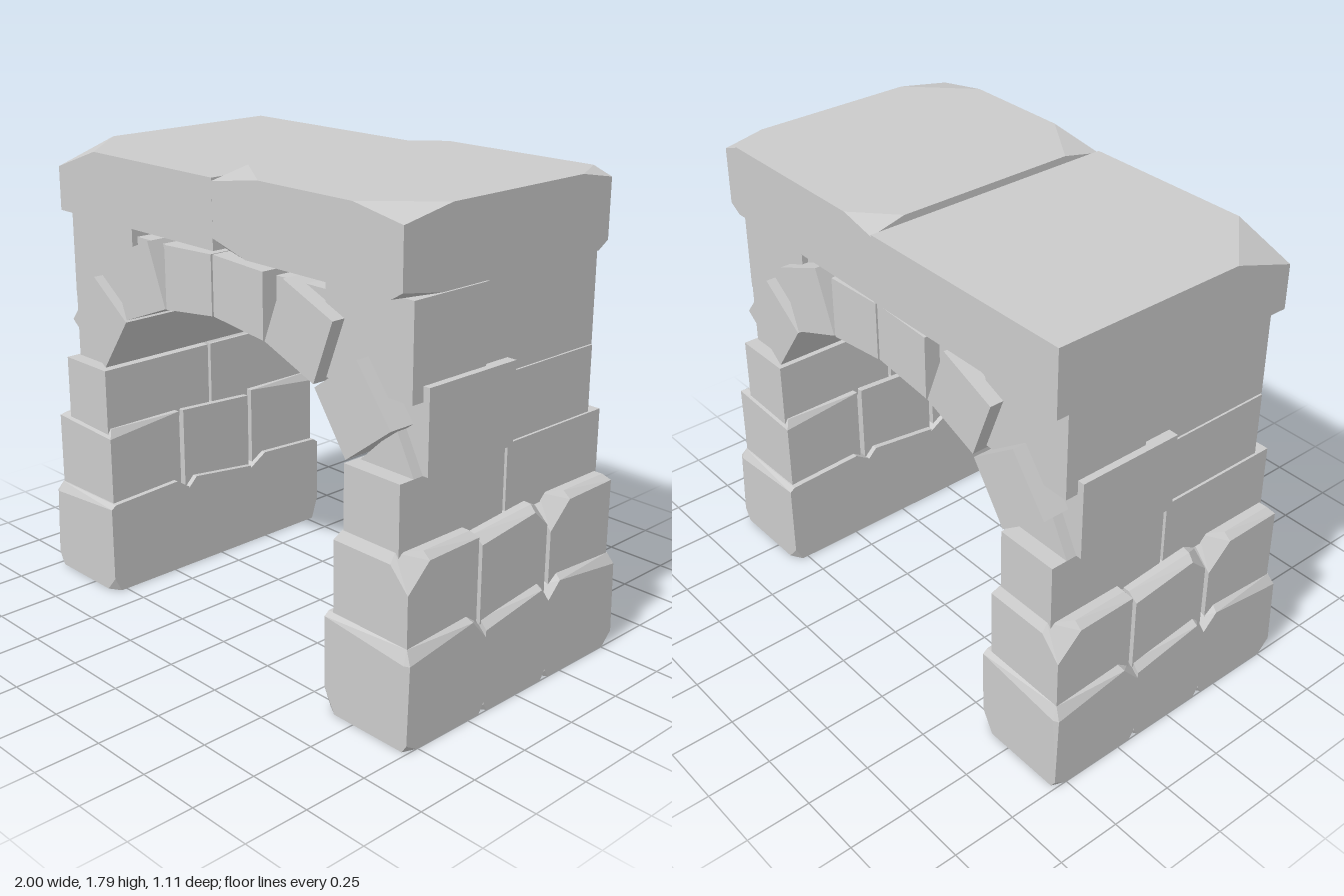
import * as THREE from 'three';
import { ConvexGeometry } from 'three/addons/geometries/ConvexGeometry.js';

const material = new THREE.MeshStandardMaterial({ color: 0xcccccc, flatShading: true });

function add(parent, name, geometry) {
  const mesh = new THREE.Mesh(geometry, material);
  mesh.name = name;
  parent.add(mesh);
  return mesh;
}

// Hewn block. Each chipped corner, keyed by its x y z signs,
// is replaced by points given as inward offsets from that corner.
function stone(parent, name, [x0, x1], [y0, y1], [z0, z1], chips = {}) {
  const points = [];
  for (const sx of ['-', '+']) for (const sy of ['-', '+']) for (const sz of ['-', '+']) {
    for (const [dx, dy, dz] of chips[sx + sy + sz] || [[0, 0, 0]]) {
      points.push(new THREE.Vector3(
        sx === '+' ? x1 - dx : x0 + dx,
        sy === '+' ? y1 - dy : y0 + dy,
        sz === '+' ? z1 - dz : z0 + dz));
    }
  }
  return add(parent, name, new ConvexGeometry(points));
}

// Corner cut straight across its three edges
const chip = (dx, dy, dz) => [[dx, 0, 0], [0, dy, 0], [0, 0, dz]];

// Prism with a polygon front, centred between z0 and z1
function prism(parent, name, corners, z0, z1) {
  const shape = new THREE.Shape(corners.map(([x, y]) => new THREE.Vector2(x, y)));
  const geometry = new THREE.ExtrudeGeometry(shape, { depth: z1 - z0, bevelEnabled: false });
  return add(parent, name, geometry.translate(0, 0, z0));
}

// One side of the arch, on +x
function createSide(name) {
  const side = new THREE.Group();
  side.name = name;

  // Foundation: three touching stones with worn upper edges
  const base = [0.61, 1];
  stone(side, 'baseStone', base, [0, 0.39], [0.17, 0.555], {
    '+++': [[0.025, 0.02, 0.02], [0, 0.07, 0.01], [0.02, 0.07, 0]],
    '-++': [[0, 0.03, 0], [0, 0.015, 0.02]],
    '++-': [[0.03, 0, 0.08], [0, 0.02, 0.07], [0, 0.1, 0], [0.05, 0.05, 0]],
    '-+-': [[0, 0.05, 0], [0, 0, 0.08]],
    '+-+': chip(0.02, 0.03, 0.05),
    '--+': chip(0.05, 0.09, 0.03),
    '+--': chip(0.03, 0.04, 0.025),
  });
  stone(side, 'baseStone', base, [0, 0.385], [-0.165, 0.17], {
    '+++': [[0.03, 0.035, 0], [0, 0.07, 0]],
    '-++': [[0, 0.035, 0]],
    '++-': [[0.03, 0, 0.04], [0, 0.02, 0.04], [0, 0.075, 0], [0.04, 0.03, 0]],
    '-+-': [[0, 0.04, 0], [0, 0, 0.04]],
    '+-+': chip(0.03, 0.03, 0.02),
    '+--': chip(0.03, 0.04, 0.025),
  });
  stone(side, 'baseStone', base, [0, 0.39], [-0.555, -0.165], {
    '+++': [[0.03, 0, 0.07], [0, 0.02, 0.06], [0, 0.08, 0], [0.05, 0.04, 0]],
    '-++': [[0, 0.04, 0], [0, 0, 0.06]],
    '++-': [[0.025, 0.02, 0.02], [0, 0.06, 0.01], [0.02, 0.06, 0]],
    '-+-': [[0, 0.03, 0], [0, 0.015, 0.02]],
    '+-+': chip(0.03, 0.03, 0.02),
    '+--': chip(0.03, 0.05, 0.05),
    '---': chip(0.05, 0.06, 0.03),
  });

  // Second course: three stones with gaps and broken corners
  const second = [0.632, 0.975];
  const bigBreak = [[0.03, 0, 0.1], [0, 0.025, 0.1], [0, 0.12, 0], [0.08, 0.035, 0], [0.08, 0, 0.02]];
  const edge = [[0.03, 0, 0.015], [0, 0.02, 0]];
  const endEdge = [[0, 0.035, 0], [0.02, 0, 0.02]];
  stone(side, 'secondCourseStone', second, [0.34, 0.68], [0.195, 0.535],
    { '+++': bigBreak, '++-': edge, '-++': endEdge });
  stone(side, 'secondCourseStone', second, [0.33, 0.68], [-0.168, 0.176], {
    '+++': [[0.04, 0.025, 0], [0, 0.055, 0]],
    '-++': [[0, 0.02, 0]],
    '++-': [[0.03, 0, 0.06], [0, 0.02, 0.07], [0, 0.085, 0], [0.06, 0.03, 0]],
  });
  stone(side, 'secondCourseStone', second, [0.34, 0.68], [-0.53, -0.19],
    { '+++': bigBreak, '++-': edge, '-+-': endEdge });

  // Plain upper courses
  stone(side, 'thirdCourseStone', [0.657, 0.91], [0.65, 0.92], [0.002, 0.513]);
  stone(side, 'thirdCourseStone', [0.657, 0.91], [0.65, 0.92], [-0.523, -0.012]);
  stone(side, 'fourthCourseStone', [0.7, 0.932], [0.92, 1.222], [-0.012, 0.408]);
  stone(side, 'fourthCourseStone', [0.7, 0.9], [0.92, 1.17], [-0.468, -0.045]);
  prism(side, 'springerWedge', [[0.67, 0.92], [0.91, 0.92], [0.83, 1.07]], 0, 0.45);

  // Wall behind the arch shoulders
  stone(side, 'spandrelStone', [0.51, 0.905], [1.168, 1.508], [0.11, 0.458]);
  stone(side, 'spandrelStone', [0.51, 0.892], [1.168, 1.512], [-0.475, 0.11]);
  stone(side, 'spandrelFill', [0.24, 0.52], [1.3, 1.465], [-0.45, 0.45]);

  // Wedge stones of the arch ring, from the springing to the crown
  const ring = [
    [[0.663, 0.932], [0.865, 1.085], [0.71, 1.285], [0.515, 1.145]],
    [[0.27, 1.248], [0.51, 1.155], [0.6, 1.388], [0.364, 1.484]],
    [[0.003, 1.278], [0.263, 1.248], [0.263, 1.488], [0.003, 1.5]],
  ];
  for (const corners of ring) prism(side, 'archStone', corners, -0.515, 0.512);
  return side;
}

export function createModel() {
  const arch = new THREE.Group();
  arch.name = 'stoneArch';

  // The two sides are half-turn copies
  const left = createSide('leftSide');
  const right = createSide('rightSide');
  right.rotation.y = Math.PI;
  arch.add(left, right);

  // Capping slabs
  stone(arch, 'rightCapSlab', [-0.922, -0.002], [1.51, 1.765], [-0.523, 0.505], {
    '-++': chip(0.235, 0.085, 0.26),
  });
  stone(arch, 'leftCapSlab', [0.002, 0.902], [1.51, 1.79], [-0.52, 0.508], {
    '+++': chip(0.22, 0.04, 0.22),
    '-++': chip(0.24, 0.035, 0.165),
    '++-': chip(0.08, 0.03, 0.16),
    '-+-': chip(0.15, 0.035, 0.14),
    '--+': chip(0.17, 0.045, 0.06),
    '+-+': chip(0.05, 0.03, 0.18),
    '+--': chip(0.05, 0.03, 0.05),
  });
  return arch;
}
